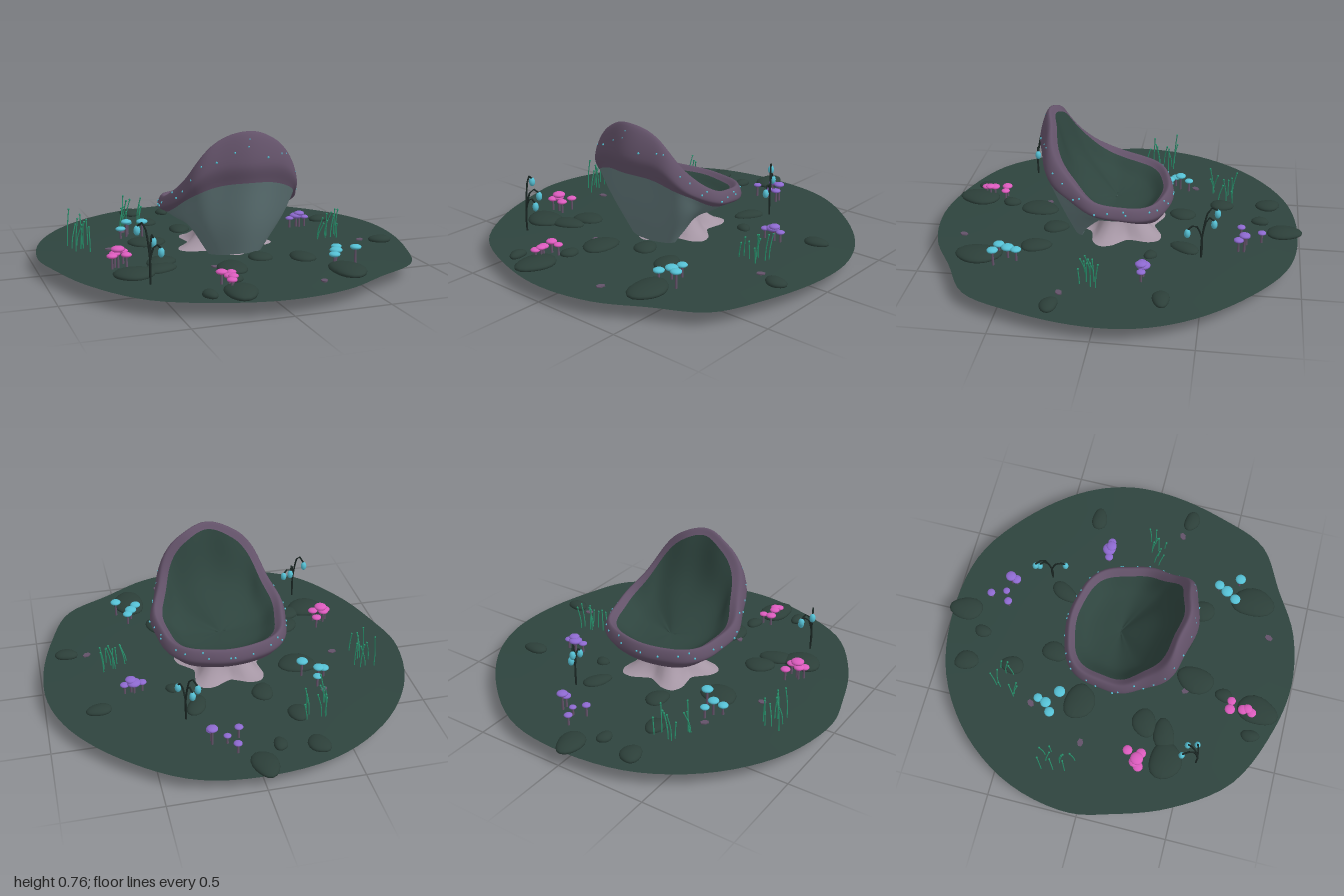
import * as THREE from 'three';

const mat = (name, color, side = THREE.FrontSide) => {
  const m = new THREE.MeshStandardMaterial({ color, side });
  m.name = name;
  return m;
};
const V = (x, y, z) => new THREE.Vector3(x, y, z);

// Closed loop mirrored across x from seven points running back (+z) to front (-z)
function loop(half) {
  const pts = half.map(p => V(...p));
  for (let i = 5; i > 0; i--) pts.push(V(-half[i][0], half[i][1], half[i][2]));
  return new THREE.CatmullRomCurve3(pts, true);
}

// Smooth skin through a list of closed loops
function loft(loops, wave, nu = 96, nv = 14) {
  const pos = [], idx = [];
  for (let i = 0; i < nu; i++) {
    const u = i / nu;
    const profile = new THREE.CatmullRomCurve3(loops.map((c, k) => {
      const p = c.getPoint(u), s = 1 + wave[k] * Math.cos(u * Math.PI * 16);
      return V(p.x * s, p.y, p.z * s);
    }));
    for (let j = 0; j <= nv; j++) pos.push(...profile.getPoint(j / nv).toArray());
  }
  for (let i = 0; i < nu; i++) for (let j = 0; j < nv; j++) {
    const a = i * (nv + 1) + j, b = ((i + 1) % nu) * (nv + 1) + j;
    idx.push(a, b, b + 1, a, b + 1, a + 1);
  }
  const g = new THREE.BufferGeometry();
  g.setAttribute('position', new THREE.Float32BufferAttribute(pos, 3));
  g.setIndex(idx);
  g.computeVertexNormals();
  return g;
}

export function createModel() {
  const D = THREE.DoubleSide;
  const moss = mat('moss', 0x2e443e, D), stone = mat('stone', 0x2c3f39);
  const slate = mat('slate', 0x647b7d, D), mauve = mat('mauve', 0x635269, D);
  const pale = mat('paleStem', 0xa596a4, D), cyan = mat('cyan', 0x55c0d4);
  const pink = mat('pink', 0xdb5bbd), violet = mat('violet', 0x8d69cf);
  const grass = mat('grass', 0x2a946f), dark = mat('darkStem', 0x1c2825);
  const root = new THREE.Group();
  let seed = 7;
  const rnd = () => (seed = (seed * 16807) % 2147483647) / 2147483647;
  const add = (name, geo, m, parent = root) => {
    const mesh = new THREE.Mesh(geo, m);
    mesh.name = name;
    parent.add(mesh);
    return mesh;
  };
  const group = name => {
    const g = new THREE.Group();
    g.name = name;
    root.add(g);
    return g;
  };
  const tube = (pts, r) => new THREE.TubeGeometry(new THREE.CatmullRomCurve3(pts), 8, r, 5);

  // Ground: irregular, very slightly domed disc
  const edge = new THREE.CatmullRomCurve3([
    [0, .99], [.3, .94], [.54, .81], [.79, .665], [.91, .4], [.985, .08], [.98, -.19], [.88, -.45], [.655, -.72],
    [.35, -.93], [0, -.985], [-.39, -.92], [-.71, -.71], [-.925, -.4], [-1, -.05], [-.95, .19], [-.845, .48],
    [-.63, .78], [-.29, .94]].map(([x, z]) => V(x, .078, z)), true);
  const ring = (s, y) => new THREE.CatmullRomCurve3(edge.points.map(p => V(p.x * s, y, p.z * s)), true);
  add('ground', loft([edge, ring(.6, .084), ring(.001, .088)], [0, 0, 0], 96, 6), moss);

  // Seat shell loops
  const center = loop([[0, .23, .001], [.001, .23, .001], [.001, .23, 0], [.001, .23, 0], [.001, .23, 0], [.001, .23, -.001], [0, .23, -.001]]);
  const under = loop([[0, .23, .12], [.07, .23, .11], [.12, .23, .08], [.14, .23, .03], [.1, .23, -.06], [.06, .23, -.1], [0, .23, -.12]]);
  const foot = loop([[0, 0, .2], [.09, .02, .19], [.18, .14, .15], [.2, .23, .04], [.18, .23, -.08], [.1, .23, -.17], [0, .23, -.2]]);
  const side = loop([[0, .25, .31], [.16, .25, .275], [.265, .28, .2], [.275, .26, .07], [.25, .245, -.1], [.17, .232, -.22], [0, .23, -.245]]);
  const lipLow = loop([[0, .5, .385], [.19, .475, .35], [.3, .4, .25], [.33, .31, .08], [.31, .27, -.1], [.2, .235, -.24], [0, .23, -.27]]);
  const lipOut = loop([[0, .6, .405], [.205, .57, .37], [.32, .42, .25], [.365, .34, .08], [.35, .3, -.1], [.215, .285, -.265], [0, .28, -.3]]);
  const lipTop = loop([[0, .76, .355], [.17, .7, .33], [.29, .52, .24], [.34, .4, .08], [.325, .36, -.1], [.2, .345, -.245], [0, .34, -.275]]);
  const lipIn = loop([[0, .73, .322], [.145, .67, .3], [.255, .5, .21], [.3, .375, .07], [.285, .335, -.09], [.18, .32, -.215], [0, .32, -.243]]);
  const bowl = loop([[0, .48, .23], [.12, .44, .2], [.2, .36, .14], [.22, .3, .04], [.2, .28, -.07], [.13, .27, -.15], [0, .27, -.18]]);
  const bowlMid = loop([[0, .265, .001], [.001, .265, .001], [.001, .265, 0], [.001, .265, 0], [.001, .265, 0], [.001, .265, -.001], [0, .265, -.001]]);
  const seat = group('seat');
  seat.position.x = .01;
  const w = .022;
  add('seatUnderside', loft([center, under, foot], [0, 0, 0]), slate, seat);
  add('seatShell', loft([foot, side, lipLow], [0, .015, w]), slate, seat);
  add('seatLip', loft([lipLow, lipOut, lipTop, lipIn], [w, w, w, w], 96, 20), mauve, seat);
  add('seatBowl', loft([lipIn, bowl, bowlMid], [w, .01, 0]), moss, seat);
  // Tiny glowing studs on the lip
  for (let i = 0; i < 34; i++) {
    const u = (i + rnd()) / 34, t = rnd();
    const p = lipOut.getPoint(u).lerp(lipTop.getPoint(u), t * .8), s = 1 + w * Math.cos(u * Math.PI * 16);
    add('stud', new THREE.SphereGeometry(.006, 6, 5), cyan, seat)
      .position.set(p.x * s * 1.015, p.y + .004, p.z * s * 1.015);
  }

  // Pedestal with a five-lobed flared skirt
  const star = (r, lobes, y) => new THREE.CatmullRomCurve3(Array.from({ length: 30 }, (_, i) => {
    const a = i / 30 * Math.PI * 2, q = r + lobes * Math.cos(5 * a);
    return V(q * Math.sin(a), y, q * Math.cos(a) - .02);
  }), true);
  add('pedestal', loft([star(.27, .055, .074), star(.2, .035, .1), star(.15, .015, .15), star(.13, .005, .2), star(.15, 0, .235)],
    [0, 0, 0, 0, 0]), pale);

  // Stones: x, z, half width, half depth, turn
  const stones = group('stones');
  [[-.01, -.91, .068, .095, 0], [-.31, -.82, .053, .072, .2], [-.12, -.78, .034, .05, 0], [-.275, -.56, .052, .066, .2],
    [-.14, -.35, .06, .07, 0], [.225, -.39, .05, .08, -.5], [.32, -.215, .04, .034, 0], [.725, -.31, .066, .046, .2],
    [.845, .225, .06, .046, -.2], [.3, .4, .06, .085, .4], [.425, .68, .09, .12, .2], [-.39, -.14, .11, .08, -.2],
    [-.42, .24, .085, .065, .6], [-.46, .36, .09, .06, .4], [-.6, .4, .1, .095, 0], [-.11, .46, .075, .11, 0],
    [-.16, .635, .04, .05, 0], [-.2, .83, .085, .11, -.1], [-.35, .82, .036, .05, 0], [.09, .33, .06, .07, 0]
  ].forEach(([x, z, a, b, r], k) => {
    const g = new THREE.SphereGeometry(1, 18, 12), p = g.attributes.position;
    for (let i = 0; i < p.count; i++) {
      const t = Math.atan2(p.getZ(i), p.getX(i)), s = 1 + .06 * Math.sin(2 * t + k) + .05 * Math.sin(3 * t + k * 2);
      p.setX(i, p.getX(i) * s);
      p.setZ(i, p.getZ(i) * s);
    }
    g.scale(a, .018 + .13 * Math.min(a, b), b);
    g.computeVertexNormals();
    const m = add('stone', g, stone, stones);
    m.position.set(x, .088, z);
    m.rotation.y = r;
  });

  // Mushroom clusters: x, z, cap radius, cap height
  const clusters = [
    [cyan, [[-.44, -.36, .025, .15], [-.46, -.31, .03, .17], [-.5, -.28, .028, .14], [-.385, -.25, .032, .18]]],
    [cyan, [[.46, .47, .028, .15], [.435, .52, .034, .145], [.4, .575, .03, .14], [.515, .58, .03, .17]]],
    [violet, [[.1, -.79, .023, .14], [.07, -.68, .023, .15], [.135, -.71, .02, .13], [.21, -.7, .03, .18], [.21, -.67, .027, .15]]],
    [violet, [[.48, -.19, .024, .14], [.525, -.2, .038, .15], [.54, -.19, .03, .165], [.575, -.195, .024, .14]]],
    [pink, [[-.605, .19, .027, .15], [-.645, .25, .036, .18], [-.605, .265, .028, .15], [-.68, .265, .028, .15], [-.66, .24, .03, .155]]],
    [pink, [[-.245, .68, .029, .145], [-.195, .68, .024, .14], [-.23, .75, .028, .145], [-.235, .8, .026, .14], [-.22, .775, .026, .15]]]];
  for (const [color, list] of clusters) {
    const g = group('mushroomCluster');
    for (const [x, z, r, y] of list) {
      add('mushroomStem', new THREE.CylinderGeometry(.005, .007, y - .08, 6), mauve, g).position.set(x, (y + .08) / 2, z);
      const cap = add('mushroomCap', new THREE.SphereGeometry(r, 14, 9), color, g);
      cap.scale.y = .45;
      cap.position.set(x, y, z);
    }
  }

  // Drooping bell plants: a base and the bells hanging from arched stalks
  const bellPlant = (x, z, bells) => {
    const g = group('bellPlant');
    for (const [bx, by, bz] of bells) {
      const top = by + .045;
      add('bellStalk', tube([V(x, .08, z), V(x, .2, z), V(x + (bx - x) * .5, top, z + (bz - z) * .5), V(bx, by + .02, bz)], .005), dark, g);
      const bell = add('bell', new THREE.SphereGeometry(.017, 10, 8), cyan, g);
      bell.scale.y = 1.5;
      bell.position.set(bx, by, bz);
    }
  };
  bellPlant(-.565, .565, [[-.605, .33, .48], [-.53, .27, .5], [-.505, .23, .55]]);
  bellPlant(.3, -.48, [[.25, .32, -.555], [.275, .27, -.54], [.325, .235, -.405]]);

  // Grass tufts: centre x, z, spread x, z, tallest tip
  for (const [cx, cz, sx, sz, h] of [[-.77, -.16, .07, .1, .28], [-.37, -.57, .08, .08, .26], [.61, .07, .1, .05, .25]]) {
    const g = group('grassTuft');
    for (let i = 0; i < 9; i++) {
      const x = cx + (rnd() * 2 - 1) * sx, z = cz + (rnd() * 2 - 1) * sz, y = h - rnd() * .09;
      const dx = rnd() * .04 - .01, dz = rnd() * .05 - .025;
      add('blade', tube([V(x, .08, z), V(x + dx * .2, y * .65, z + dz * .2), V(x + dx, y, z + dz)], .0032), grass, g);
      add('bladeTip', new THREE.SphereGeometry(.006, 6, 5), grass, g).position.set(x + dx, y, z + dz);
    }
  }

  // Fallen petals on the ground
  for (const [x, z] of [[-.465, -.4], [-.615, -.075], [-.185, .42], [.235, .81], [.735, .195]]) {
    const m = add('petal', new THREE.CylinderGeometry(.024, .024, .006, 6), mauve);
    m.position.set(x, .09, z);
    m.scale.z = .7;
    m.rotation.y = x * 5;
  }
  return root;
}
